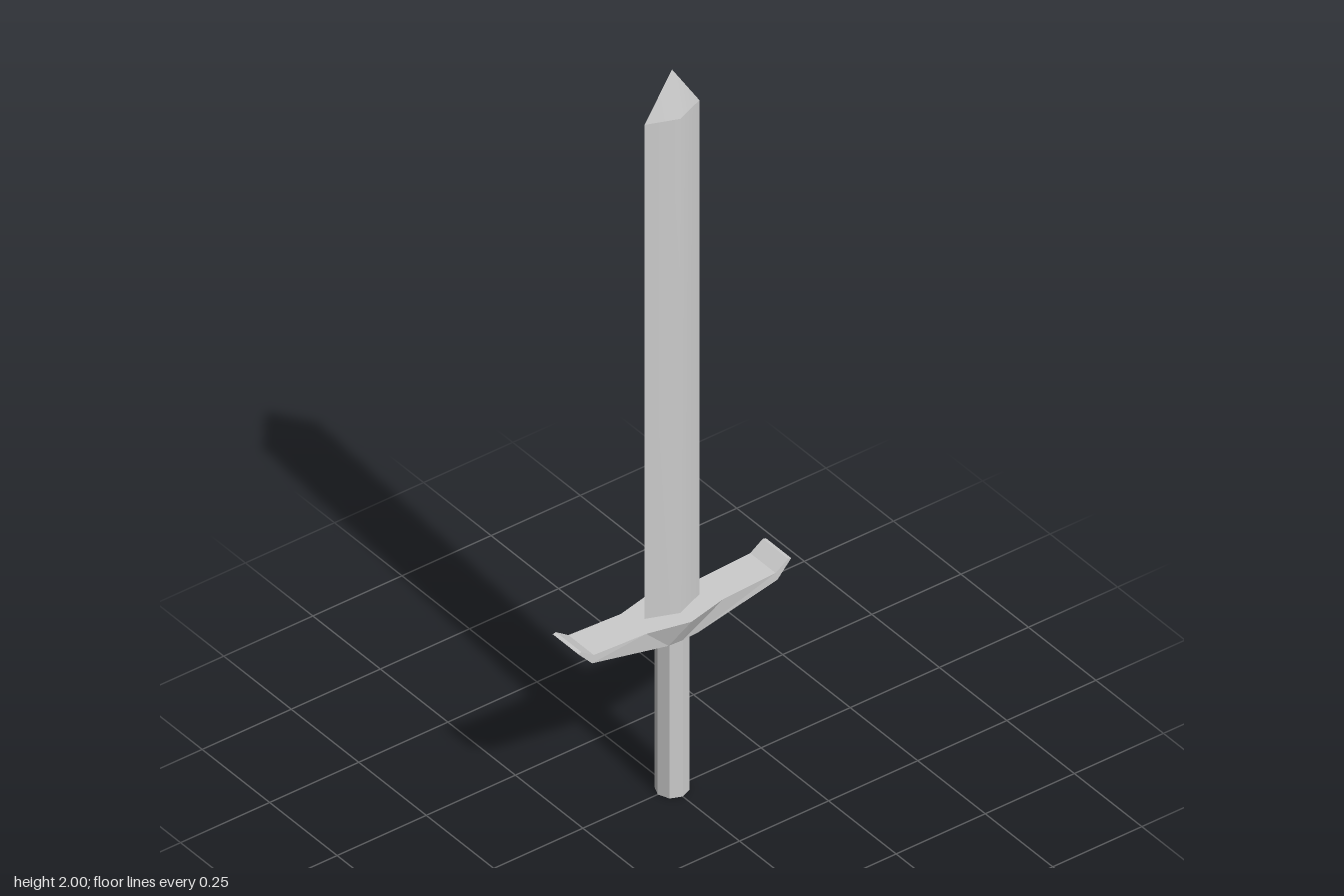
import * as THREE from 'three';
import { toCreasedNormals } from 'three/addons/utils/BufferGeometryUtils.js';

const smooth = new THREE.MeshStandardMaterial({ color: 0xcccccc });
const flat = new THREE.MeshStandardMaterial({ color: 0xcccccc, flatShading: true });

function addPart(group, name, geometry, material, y = 0) {
  const mesh = new THREE.Mesh(geometry, material);
  mesh.name = name;
  mesh.position.y = y;
  group.add(mesh);
}

// Diamond section: soft centre ridge, sharp cutting edges
function diamond(geometry) {
  geometry.scale(0.077, 1, 0.03);
  return toCreasedNormals(geometry, 1);
}

// Crossguard lofted through four-cornered sections along x
function guardGeometry() {
  // [top x, top y, top half depth, bottom x, bottom y, bottom half depth]
  const half = [
    [0, 0.505, 0.072, 0, 0.435, 0.04],
    [0.108, 0.505, 0.047, 0.04, 0.437, 0.04],
    [0.255, 0.512, 0.047, 0.26, 0.491, 0.047],
    [0.29, 0.536, 0.047, 0.299, 0.534, 0.047],
  ];
  const mirrored = half.slice(1).reverse().map(([tx, ty, tz, bx, by, bz]) => [-tx, ty, tz, -bx, by, bz]);
  const sections = [...mirrored, ...half];
  const points = [];
  const index = [];
  for (const [tx, ty, tz, bx, by, bz] of sections) {
    points.push(tx, ty, tz, tx, ty, -tz, bx, by, -bz, bx, by, bz);
  }
  for (let i = 0; i < sections.length - 1; i++) {
    for (let j = 0; j < 4; j++) {
      const a = i * 4 + j;
      const b = i * 4 + (j + 1) % 4;
      index.push(a, b + 4, b, a, a + 4, b + 4);
    }
  }
  // End caps
  const e = (sections.length - 1) * 4;
  index.push(0, 1, 2, 0, 2, 3, e, e + 2, e + 1, e, e + 3, e + 2);
  const geometry = new THREE.BufferGeometry();
  geometry.setAttribute('position', new THREE.Float32BufferAttribute(points, 3));
  geometry.setIndex(index);
  const faceted = geometry.toNonIndexed();
  faceted.computeVertexNormals();
  return faceted;
}

export function createModel() {
  const sword = new THREE.Group();
  sword.name = 'sword';

  // Octagonal grip
  addPart(sword, 'grip', new THREE.CylinderGeometry(0.04, 0.04, 0.44, 8), flat, 0.22);

  addPart(sword, 'crossguard', guardGeometry(), flat);

  // Blade and its pointed tip
  addPart(sword, 'blade', diamond(new THREE.CylinderGeometry(1, 1, 1.39, 4, 1, true)), smooth, 1.185);
  addPart(sword, 'bladeTip', diamond(new THREE.ConeGeometry(1, 0.12, 4, 1, true)), smooth, 1.94);

  return sword;
}
